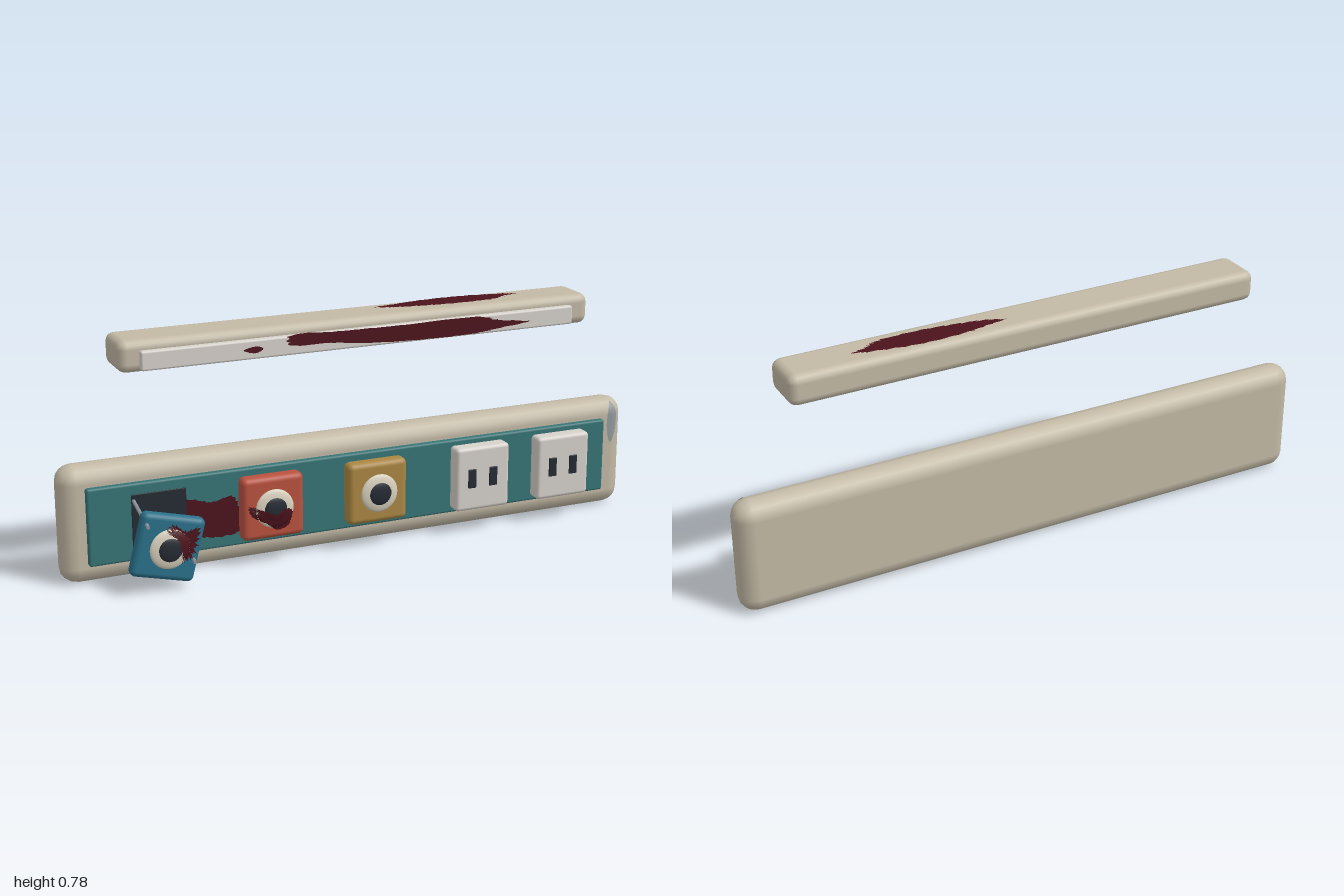
import * as THREE from 'three';
import { RoundedBoxGeometry } from 'three/addons/geometries/RoundedBoxGeometry.js';

const mat = (color, side = THREE.FrontSide) => new THREE.MeshStandardMaterial({ color, side });
const cream = mat(0xc2b9a5), teal = mat(0x367475), white = mat(0xd6d1cb), ivory = mat(0xdad2bf);
const dark = mat(0x252b33), blue = mat(0x2a7089), red = mat(0xb9523f), ochre = mat(0xaa8743);
const metal = mat(0x8b929a), blood = mat(0x4c131c, THREE.DoubleSide), bare = mat(0x929a9c, THREE.DoubleSide);

function add(parent, name, geometry, material, x = 0, y = 0, z = 0) {
  const mesh = new THREE.Mesh(geometry, material);
  mesh.name = name;
  mesh.position.set(x, y, z);
  parent.add(mesh);
  return mesh;
}

// Rounded block given by its limits on each axis
function block(parent, name, material, [x0, x1], [y0, y1], [z0, z1], radius, segments = 3) {
  const geometry = new RoundedBoxGeometry(x1 - x0, y1 - y0, z1 - z0, segments, radius);
  return add(parent, name, geometry, material, (x0 + x1) / 2, (y0 + y1) / 2, (z0 + z1) / 2);
}

// Flat blot with a ragged edge, draped over a surface z = height(x, y).
// The outline runs counter-clockwise around the centre.
function blot(parent, name, material, [cx, cy], outline, height, ragged = 0.05) {
  const curve = new THREE.CatmullRomCurve3(outline.map(([x, y]) => new THREE.Vector3(x, y, 0)), true);
  const rings = 12, sides = 96, positions = [], index = [];
  for (let r = 0; r <= rings; r++) {
    for (let s = 0; s < sides; s++) {
      const p = curve.getPoint(s / sides);
      const k = (r / rings) * (1 + ragged * Math.sin(s * 2.3) * Math.sin(s * 0.71 + 1));
      const x = cx + (p.x - cx) * k, y = cy + (p.y - cy) * k;
      positions.push(x, y, height(x, y) + 0.002);
      if (r < rings) {
        const a = r * sides + s, b = r * sides + (s + 1) % sides;
        index.push(a, a + sides, b + sides, a, b + sides, b);
      }
    }
  }
  const geometry = new THREE.BufferGeometry();
  geometry.setAttribute('position', new THREE.Float32BufferAttribute(positions, 3));
  geometry.setIndex(index);
  geometry.computeVertexNormals();
  return add(parent, name, geometry, material);
}

// Square switch with a domed round button; its origin is the centre of the front face
function buttonSwitch(parent, name, material, x, y, z, depth) {
  const group = new THREE.Group();
  group.name = name;
  group.position.set(x, y, z);
  block(group, 'switchBody', material, [-0.104, 0.104], [-0.104, 0.104], [-depth, 0], 0.019);
  const dome = new THREE.SphereGeometry(1, 32, 16);
  add(group, 'buttonRim', dome, ivory, 0, 0, 0.006).scale.set(0.064, 0.064, 0.014);
  add(group, 'buttonCentre', dome, dark, 0, 0, 0.013).scale.set(0.041, 0.041, 0.011);
  parent.add(group);
  return group;
}

// Height of a button's surface above its switch face
function buttonHeight(x, y) {
  const d = Math.hypot(x, y);
  const cap = (r, base, h) => (d < r ? base + h * Math.sqrt(1 - (d / r) ** 2) : 0);
  return Math.max(0, cap(0.064, 0.006, 0.014), cap(0.041, 0.013, 0.011));
}

export function createModel() {
  const model = new THREE.Group();
  model.name = 'wallPanel';

  // Wall panel and its inset plate
  block(model, 'backPanel', cream, [-1, 1], [0, 0.385], [-0.148, -0.035], 0.056, 2);
  block(model, 'facePlate', teal, [-0.92, 0.91], [0.066, 0.32], [-0.06, -0.017], 0.008);

  // Upper bar with a front strip
  block(model, 'lampBar', cream, [-0.81, 0.81], [0.677, 0.779], [-0.148, 0.013], 0.028, 2);
  block(model, 'lampStrip', white, [-0.745, 0.74], [0.686, 0.748], [0.005, 0.031], 0.007, 2);

  // Outlets with two slots each
  for (const x of [0.415, 0.72]) {
    const outlet = new THREE.Group();
    outlet.name = 'outlet';
    outlet.position.x = x;
    block(outlet, 'outletBody', white, [-0.098, 0.098], [0.084, 0.303], [-0.02, 0.038], 0.013);
    for (const s of [-0.041, 0.037])
      block(outlet, 'outletSlot', dark, [s - 0.015, s + 0.015], [0.163, 0.229], [0.03, 0.041], 0.003, 1);
    model.add(outlet);
  }

  // Fixed switches
  const redSwitch = buttonSwitch(model, 'redSwitch', red, -0.33, 0.196, 0.038, 0.056);
  buttonSwitch(model, 'yellowSwitch', ochre, 0.033, 0.196, 0.038, 0.056);

  // Torn-out switch, hanging crooked in front of its empty socket
  block(model, 'emptySocket', dark, [-0.78, -0.602], [0.103, 0.285], [-0.03, -0.014], 0.002, 1);
  const loose = buttonSwitch(model, 'looseSwitch', blue, -0.705, 0.144, 0.118, 0.046);
  loose.rotation.z = -0.25;
  for (const [x, y] of [[-0.773, 0.227], [-0.628, 0.093]]) {
    const path = new THREE.LineCurve3(new THREE.Vector3(x, y, 0.132), new THREE.Vector3(x, y + 0.04, -0.022));
    add(model, 'bentRod', new THREE.TubeGeometry(path, 1, 0.006, 10), metal);
    const tip = add(model, 'rodTip', new THREE.CylinderGeometry(0.006, 0.006, 0.004, 10), metal, x, y, 0.131);
    tip.rotation.x = Math.PI / 2;
  }

  // Stains on the plate and the two left switches
  blot(model, 'plateStain', blood, [-0.54, 0.175], [
    [-0.42, 0.12], [-0.43, 0.2], [-0.45, 0.235], [-0.52, 0.225], [-0.59, 0.243], [-0.66, 0.235],
    [-0.7, 0.18], [-0.65, 0.12], [-0.57, 0.115], [-0.5, 0.105]], () => -0.017);
  blot(redSwitch, 'redSwitchStain', blood, [0.005, -0.035], [
    [0.05, -0.06], [0.055, -0.01], [0.03, 0.0], [0.0, -0.015], [-0.04, 0.0], [-0.085, 0.012],
    [-0.075, -0.02], [-0.03, -0.045], [0.01, -0.075]], buttonHeight);
  blot(loose, 'looseSwitchStain', blood, [0.045, 0.035], [
    [0.075, -0.02], [0.085, 0.03], [0.08, 0.075], [0.04, 0.06], [0.0, 0.075], [-0.02, 0.055],
    [0.015, 0.035], [0.035, 0.0], [0.05, -0.03]], buttonHeight, 0.25);

  // Stains on the upper bar
  blot(model, 'stripStain', blood, [0.12, 0.717], [
    [0.57, 0.712], [0.46, 0.728], [0.4, 0.744], [0.1, 0.745], [-0.1, 0.747], [-0.27, 0.746],
    [-0.27, 0.722], [-0.13, 0.713], [0.0, 0.699], [0.18, 0.691], [0.38, 0.692], [0.47, 0.701]], () => 0.031, 0.03);
  blot(model, 'stripDrop', blood, [-0.385, 0.717], [
    [-0.355, 0.717], [-0.375, 0.727], [-0.42, 0.718], [-0.38, 0.706]], () => 0.031);
  const topStain = blot(model, 'barTopStain', blood, [0.33, 0.08], [
    [0.58, 0.083], [0.48, 0.108], [0.36, 0.122], [0.22, 0.115], [0.14, 0.1], [0.08, 0.088],
    [0.13, 0.065], [0.24, 0.045], [0.36, 0.035], [0.5, 0.045], [0.53, 0.066]], () => 0, 0.08);
  topStain.rotation.x = -Math.PI / 2;
  topStain.position.y = 0.779;

  // Worn patch on the panel's rounded edge
  const edge = (x, y) => {
    const d = Math.hypot(Math.max(0, x - 0.944), Math.max(0, y - 0.329));
    return -0.091 + Math.sqrt(Math.max(0, 0.056 ** 2 - d * d));
  };
  blot(model, 'wornPatch', bare, [0.948, 0.3], [
    [0.967, 0.29], [0.965, 0.345], [0.948, 0.372], [0.934, 0.34], [0.93, 0.28], [0.945, 0.23], [0.958, 0.25]], edge);

  return model;
}
